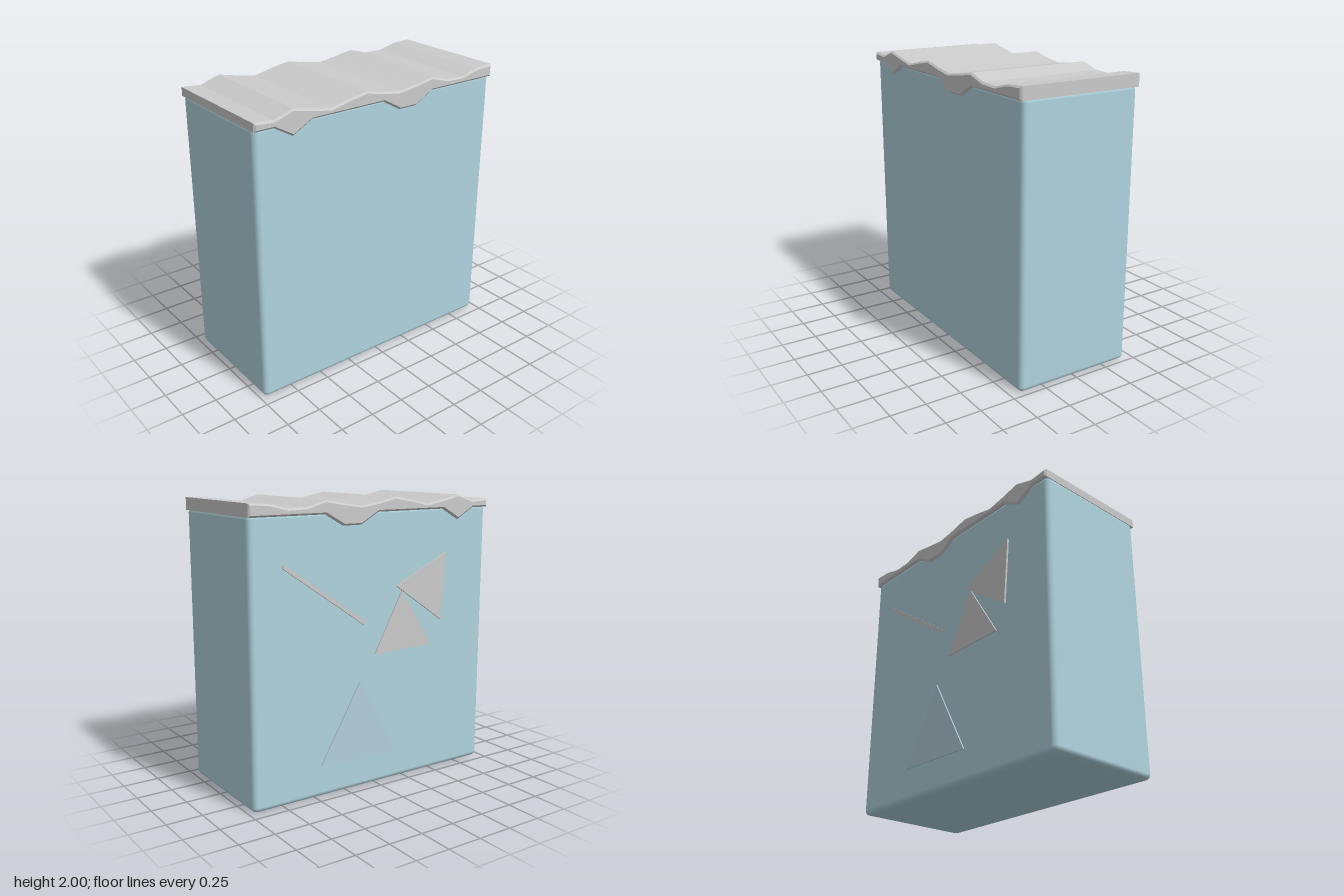
import * as THREE from 'three';
import { RoundedBoxGeometry } from 'three/addons/geometries/RoundedBoxGeometry.js';

const mat = (color) => new THREE.MeshStandardMaterial({ color });

function shapeOf(points) {
  return new THREE.Shape(points.map(([x, y]) => new THREE.Vector2(x, y)));
}

export function createModel() {
  const model = new THREE.Group();
  const ice = mat(0xb0d4de);
  const paleIce = mat(0xb4cedb);
  const grey = mat(0xcccccc);

  const add = (name, geometry, material) => {
    const mesh = new THREE.Mesh(geometry, material);
    mesh.name = name;
    model.add(mesh);
    return mesh;
  };

  // Ice block with softened edges; its top is tucked into the cap
  const height = 1.925;
  add('iceBlock', new RoundedBoxGeometry(1.944, height, 0.87, 2, 0.035), ice)
    .position.y = height / 2;

  // Snow cap: wavy top, flat underside with two drips, running front to back
  const halfWidth = 0.974;
  const waves = [1.965, 1.955, 2, 1.97, 1.945, 1.975, 2, 1.97, 1.95, 1.97, 1.995, 1.955, 1.95, 1.985, 1.992];
  const top = waves.map((y, i) => [-halfWidth + (2 * halfWidth * i) / (waves.length - 1), y]);
  const underside = [
    [-halfWidth, 1.905], [-0.835, 1.905], [-0.7, 1.827], [-0.56, 1.905], [0, 1.905],
    [0.14, 1.827], [0.28, 1.827], [0.42, 1.905], [halfWidth, 1.905],
  ];
  const bevel = 0.012;
  const cap = new THREE.ExtrudeGeometry(shapeOf([...underside, ...top.reverse()]), {
    depth: 0.91 - 2 * bevel,
    bevelThickness: bevel,
    bevelSize: bevel,
    bevelOffset: -bevel,
    bevelSegments: 1,
  });
  cap.translate(0, 0, -0.455 + bevel);
  add('snowCap', cap, grey);

  // Flat triangular shards on the back face
  const shards = [
    ['upperShard', [[-0.16, 1.395], [-0.56, 1.12], [-0.595, 1.6]], 0.45, grey],
    ['middleShard', [[-0.21, 1.36], [0.017, 0.94], [-0.474, 0.95]], 0.445, grey],
    ['lowerShard', [[0.144, 0.76], [0.458, 0.225], [-0.161, 0.215]], 0.445, paleIce],
  ];
  for (const [name, points, reach, material] of shards) {
    const geometry = new THREE.ExtrudeGeometry(shapeOf(points), { depth: 0.03, bevelEnabled: false });
    add(name, geometry, material).position.z = -reach;
  }

  // Thin slanted crack on the back face
  const a = new THREE.Vector2(0.735, 1.595);
  const b = new THREE.Vector2(0.105, 1.165);
  const crack = add('crack', new THREE.BoxGeometry(a.distanceTo(b), 0.026, 0.03), grey);
  crack.position.set((a.x + b.x) / 2, (a.y + b.y) / 2, -0.435);
  crack.rotation.z = Math.atan2(a.y - b.y, a.x - b.x);

  return model;
}
